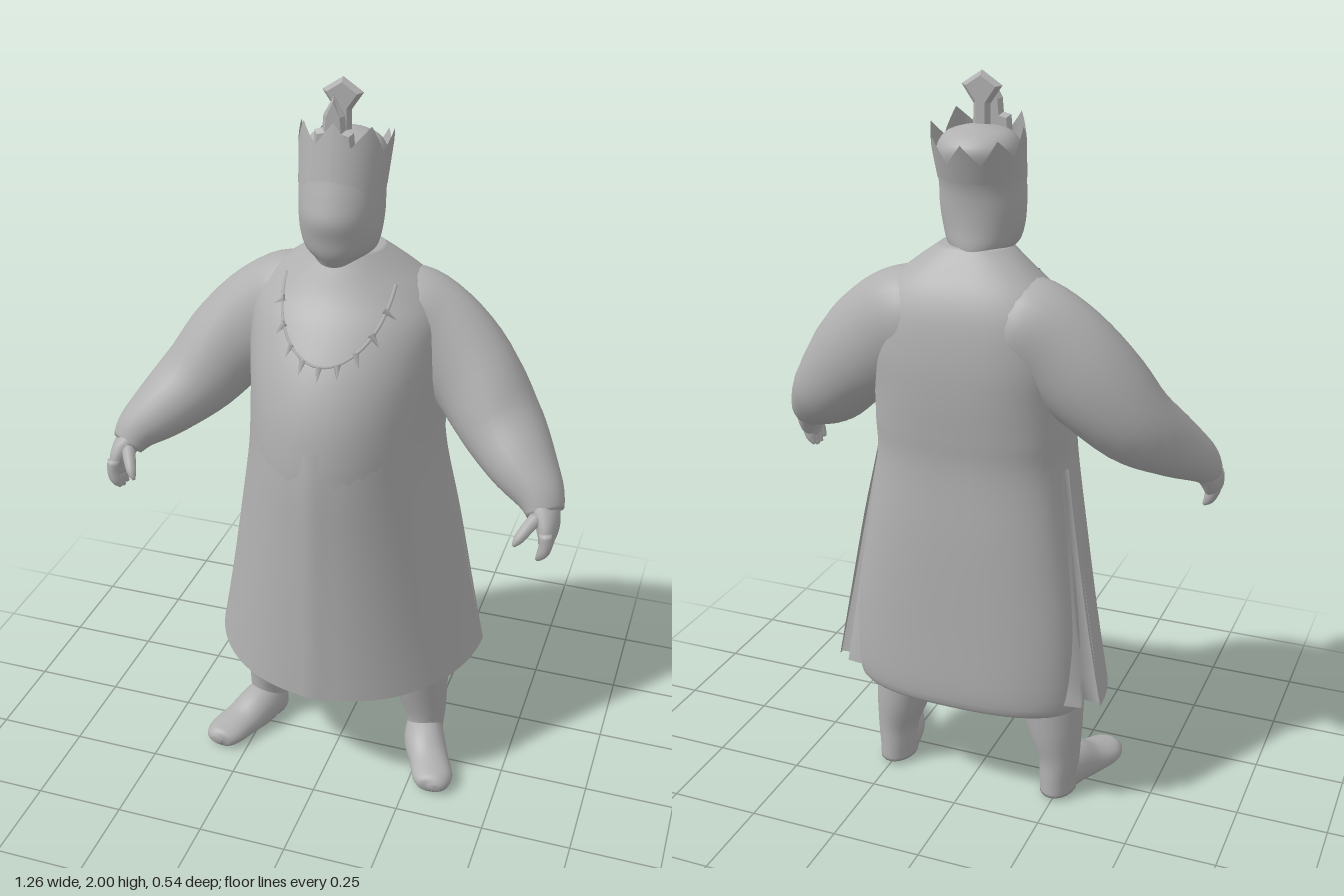
import * as THREE from 'three';

const cloth = new THREE.MeshStandardMaterial({ color: 0xb0b0b0, side: THREE.DoubleSide });
cloth.name = 'plain grey';

function mesh(name, geometry) {
  const m = new THREE.Mesh(geometry, cloth);
  m.name = name;
  return m;
}

// Skin a list of rings; closed rings wrap round and get end caps
function skin(rings, closed = true) {
  const n = rings[0].length, pos = [], idx = [];
  rings.forEach(r => r.forEach(p => pos.push(p.x, p.y, p.z)));
  for (let i = 0; i < rings.length - 1; i++) {
    for (let j = 0; j < (closed ? n : n - 1); j++) {
      const k = (j + 1) % n, a = i * n + j, b = i * n + k;
      idx.push(a, b, b + n, a, b + n, a + n);
    }
  }
  if (closed) {
    [0, rings.length - 1].forEach((i, end) => {
      const c = new THREE.Vector3();
      rings[i].forEach(p => c.addScaledVector(p, 1 / n));
      const ci = pos.length / 3;
      pos.push(c.x, c.y, c.z);
      for (let j = 0; j < n; j++) {
        const a = i * n + j, b = i * n + (j + 1) % n;
        if (end) idx.push(ci, a, b); else idx.push(ci, b, a);
      }
    });
  }
  const g = new THREE.BufferGeometry();
  g.setAttribute('position', new THREE.Float32BufferAttribute(pos, 3));
  g.setIndex(idx);
  g.computeVertexNormals();
  return g;
}

// Smoothly interpolate table rows: t runs 0..1 along the rows
function sample(rows, t) {
  const f = t * (rows.length - 1), i = Math.min(Math.floor(f), rows.length - 2), u = f - i;
  const at = k => rows[Math.max(0, Math.min(rows.length - 1, k))];
  return rows[0].map((_, c) => {
    const [a, b, d, e] = [at(i - 1)[c], at(i)[c], at(i + 1)[c], at(i + 2)[c]];
    return b + 0.5 * u * (d - a + u * (2 * a - 5 * b + 4 * d - e + u * (3 * (b - d) + e - a)));
  });
}

// Horizontal ring from a row: y, half width, widest z, front z, back z
function ring([y, rx, cz, zf, zb], cx, square, n = 48) {
  return Array.from({ length: n }, (_, j) => {
    const t = j / n * Math.PI * 2, s = Math.sin(t), c = Math.cos(t);
    const e = c < 0 ? square : 1;
    const x = Math.sign(s) * Math.abs(s) ** e * rx;
    const z = c >= 0 ? c * (zf - cz) : -(Math.abs(c) ** e) * (cz - zb);
    return new THREE.Vector3(cx + x, y, cz + z);
  });
}

function body(rows, cx, square, steps) {
  return skin(Array.from({ length: steps + 1 }, (_, i) => ring(sample(rows, i / steps), cx, square)));
}

// Limb along rows of x, y, z, radius along ref, radius across
function limb(rows, side, ref, steps = 20, n = 20) {
  const at = t => {
    const [x, y, z] = sample(rows, Math.max(0, Math.min(1, t)));
    return new THREE.Vector3(x * side, y, z);
  };
  const rings = [];
  for (let i = 0; i <= steps; i++) {
    const t = i / steps, r = sample(rows, t), p = at(t);
    const T = at(t + 0.02).sub(at(t - 0.02)).normalize();
    const u = ref.clone().addScaledVector(T, -ref.dot(T)).normalize();
    const v = T.clone().cross(u);
    rings.push(Array.from({ length: n }, (_, j) => {
      const a = j / n * Math.PI * 2;
      const q = p.clone().addScaledVector(u, Math.cos(a) * r[3]).addScaledVector(v, Math.sin(a) * r[4]);
      q.y = Math.max(0, q.y);
      return q;
    }));
  }
  return skin(rings);
}

const ROBE = [
  [0.345, 0.25, -0.1, 0.1, -0.2], [0.315, 0.295, -0.1, 0.16, -0.238], [0.345, 0.325, -0.12, 0.24, -0.268],
  [0.55, 0.32, -0.13, 0.25, -0.266], [0.8, 0.287, -0.12, 0.25, -0.26], [1.0, 0.262, -0.1, 0.254, -0.25],
  [1.1, 0.262, -0.1, 0.25, -0.256], [1.2, 0.262, -0.1, 0.232, -0.263], [1.3, 0.268, -0.11, 0.19, -0.263],
  [1.4, 0.262, -0.11, 0.125, -0.25], [1.47, 0.22, -0.11, 0.07, -0.225], [1.53, 0.15, -0.1, 0.035, -0.185],
  [1.575, 0.09, -0.07, 0.01, -0.15]];
const HEAD = [
  [1.5, 0.09, -0.08, 0, -0.16], [1.55, 0.07, -0.06, 0.035, -0.155], [1.58, 0.092, -0.05, 0.052, -0.155],
  [1.62, 0.104, -0.05, 0.062, -0.151], [1.67, 0.109, -0.06, 0.074, -0.151], [1.72, 0.11, -0.06, 0.062, -0.157],
  [1.77, 0.11, -0.07, 0.046, -0.173], [1.82, 0.105, -0.08, 0.03, -0.183], [1.855, 0.078, -0.085, 0, -0.15],
  [1.872, 0.02, -0.085, -0.065, -0.105]];
const FRONT_PANEL = [
  [0.35, 0.39, -0.15, 0.268], [0.55, 0.352, -0.145, 0.266], [0.8, 0.308, -0.13, 0.263],
  [1.0, 0.272, -0.105, 0.261], [1.12, 0.262, -0.09, 0.25]];
const ARM = [
  [0.05, 1.39, -0.11, 0.1, 0.1], [0.14, 1.372, -0.113, 0.143, 0.128], [0.23, 1.328, -0.113, 0.145, 0.113],
  [0.332, 1.243, -0.095, 0.132, 0.114], [0.42, 1.14, -0.05, 0.112, 0.115], [0.5, 1.065, 0.02, 0.087, 0.095],
  [0.56, 1.012, 0.07, 0.063, 0.068], [0.585, 0.972, 0.1, 0.042, 0.05]];
const LEG = [
  [0.213, 0.36, -0.055, 0.102, 0.098], [0.22, 0.3, -0.058, 0.096, 0.09], [0.235, 0.2, -0.067, 0.084, 0.075],
  [0.248, 0.12, -0.07, 0.072, 0.058], [0.248, 0.06, -0.071, 0.072, 0.052], [0.248, 0.01, -0.072, 0.072, 0.05]];
const FOOT = [
  [0.242, 0.05, -0.1, 0.045, 0.04], [0.247, 0.052, -0.06, 0.066, 0.054], [0.265, 0.05, 0.0, 0.066, 0.06],
  [0.295, 0.035, 0.06, 0.048, 0.058], [0.322, 0.03, 0.12, 0.036, 0.058], [0.335, 0.028, 0.15, 0.03, 0.042],
  [0.338, 0.026, 0.165, 0.012, 0.015]];

// Robe surface depth at a point on the chest
function chestZ(x, y) {
  const k = ROBE.findIndex((r, i) => i > 2 && r[0] >= y);
  const u = (y - ROBE[k - 1][0]) / (ROBE[k][0] - ROBE[k - 1][0]);
  const [, rx, cz, zf] = ROBE[k].map((v, c) => ROBE[k - 1][c] * (1 - u) + v * u);
  return cz + (zf - cz) * Math.sqrt(Math.max(0, 1 - (x / rx) ** 2));
}

export function createModel() {
  const model = new THREE.Group();
  model.name = 'crownedFigure';
  const X = new THREE.Vector3(1, 0, 0), Y = new THREE.Vector3(0, 1, 0), Z = new THREE.Vector3(0, 0, 1);
  model.add(mesh('robe', body(ROBE, 0, 0.8, 60)), mesh('head', body(HEAD, -0.012, 1, 36)));

  // Flared front of the robe, open at the side slits, with a centre ridge
  const panel = Array.from({ length: 17 }, (_, i) => {
    const [y, rx, cz, zf] = sample(FRONT_PANEL, i / 16);
    return Array.from({ length: 49 }, (_, j) => {
      const a = (j / 48 - 0.5) * Math.PI, x = Math.sin(a) * rx;
      return new THREE.Vector3(x, y, cz + Math.cos(a) * (zf - cz) - 0.006 * Math.min(1, Math.abs(x) / 0.05));
    });
  });
  model.add(mesh('robeFrontPanel', skin(panel, false)));

  // Collar with small pointed pendants lying on the chest
  const collarPoint = t => {
    const x = 0.145 * Math.sin(t * Math.PI / 2), y = 1.5 - 0.17 * Math.cos(t * Math.PI / 2);
    return new THREE.Vector3(x, y, chestZ(x, y) - 0.001);
  };
  const collar = new THREE.Group();
  collar.name = 'necklace';
  const collarPath = new THREE.CatmullRomCurve3(Array.from({ length: 17 }, (_, i) => collarPoint(i / 8 - 1)));
  collar.add(mesh('necklaceBand', new THREE.TubeGeometry(collarPath, 40, 0.005, 6)));
  for (let i = -4; i <= 4; i++) {
    const p = collarPoint(i / 5);
    const tooth = mesh('pendant', new THREE.ConeGeometry(0.011, 0.04, 5));
    const q = new THREE.Vector3(p.x * 1.15, p.y - 0.035 * Math.cos(i / 5 * 1.5), 0);
    q.z = chestZ(q.x, q.y) + 0.002;
    tooth.position.copy(p).lerp(q, 0.5);
    tooth.quaternion.setFromUnitVectors(Y, q.sub(p).normalize());
    collar.add(tooth);
  }
  model.add(collar);

  for (const side of [1, -1]) {
    const label = side > 0 ? 'left' : 'right';
    model.add(mesh(label + 'Sleeve', limb(ARM, side, Y, 28, 24)));
    model.add(mesh(label + 'Leg', limb(LEG, side, Z)), mesh(label + 'Foot', limb(FOOT, side, Y, 24, 24)));

    // Folded cloth closing the slit between front panel and back
    const hem = [[0.388, -0.15], [0.34, -0.145], [0.347, -0.19], [0.27, -0.2]];
    const waist = [[0.27, -0.105], [0.262, -0.11], [0.262, -0.125], [0.25, -0.14]];
    const pleat = Array.from({ length: 9 }, (_, i) => hem.map(([x, z], j) => new THREE.Vector3(
      side * THREE.MathUtils.lerp(x, waist[j][0], i / 8), 0.355 + 0.65 * i / 8,
      THREE.MathUtils.lerp(z, waist[j][1], i / 8))));
    model.add(mesh(label + 'Pleat', skin(pleat, false)));

    const hand = new THREE.Group();
    hand.name = label + 'Hand';
    hand.add(mesh('palm', limb([[0.565, 1.0, 0.08, 0.048, 0.042], [0.59, 0.965, 0.105, 0.05, 0.034],
      [0.598, 0.93, 0.125, 0.047, 0.026], [0.594, 0.9, 0.132, 0.034, 0.016]], side, Z)));
    for (let i = 0; i < 4; i++) {
      const z = 0.1 + i * 0.022, tip = 0.86 + Math.abs(i - 1.5) * 0.008;
      hand.add(mesh('finger', limb([[0.6, 0.95, z, 0.014, 0.017], [0.602, 0.915, z + 0.003, 0.014, 0.017],
        [0.594, tip + 0.018, z + 0.003, 0.013, 0.014], [0.582, tip, z, 0.005, 0.005]], side, Z, 8, 8)));
    }
    hand.add(mesh('thumb', limb([[0.57, 0.975, 0.13, 0.02, 0.02], [0.55, 0.955, 0.165, 0.017, 0.017],
      [0.535, 0.935, 0.188, 0.013, 0.013], [0.525, 0.92, 0.198, 0.004, 0.004]], side, X, 8, 8)));
    model.add(hand);
  }

  // Crown wall leans back and rises into points
  const crown = new THREE.Group();
  crown.name = 'crown';
  const wall = [0, 0.5, 1].map(h => Array.from({ length: 65 }, (_, j) => {
    const a = j / 64 * Math.PI * 2, f = (1 + Math.cos(a)) / 2;
    const point = Math.abs(((j + 4) % 8) - 4) / 4;
    const top = 1.785 + 0.07 * f + 0.055 * (1 - point);
    const y = 1.74 + (top - 1.74) * h, lean = y - 1.74;
    const r = 0.112 + 0.07 * lean;
    return new THREE.Vector3(-0.012 + Math.sin(a) * r, y, -0.06 - 0.28 * lean + Math.cos(a) * r);
  }));
  crown.add(mesh('crownWall', skin(wall, false)));

  // Tall ornaments: a front spike and a lozenge on a stem behind it
  const plate = (name, pts, z) => {
    const shape = new THREE.Shape(pts.map(([x, y]) => new THREE.Vector2(x, y)));
    const m = mesh(name, new THREE.ExtrudeGeometry(shape,
      { depth: 0.002, bevelSize: 0.01, bevelOffset: -0.01, bevelThickness: 0.011, bevelSegments: 1 }));
    m.position.set(-0.015, 0, z - 0.001);
    crown.add(m);
  };
  plate('frontSpike', [[-0.055, 1.83], [0.055, 1.83], [0.05, 1.885], [0.03, 1.89], [0.027, 1.925], [0, 1.972],
    [-0.027, 1.925], [-0.03, 1.89], [-0.05, 1.885]], 0.0);
  plate('lozenge', [[-0.022, 1.83], [0.022, 1.83], [0.022, 1.92], [0.053, 1.965], [0, 2.0], [-0.053, 1.965],
    [-0.022, 1.92]], -0.07);
  model.add(crown);
  return model;
}
